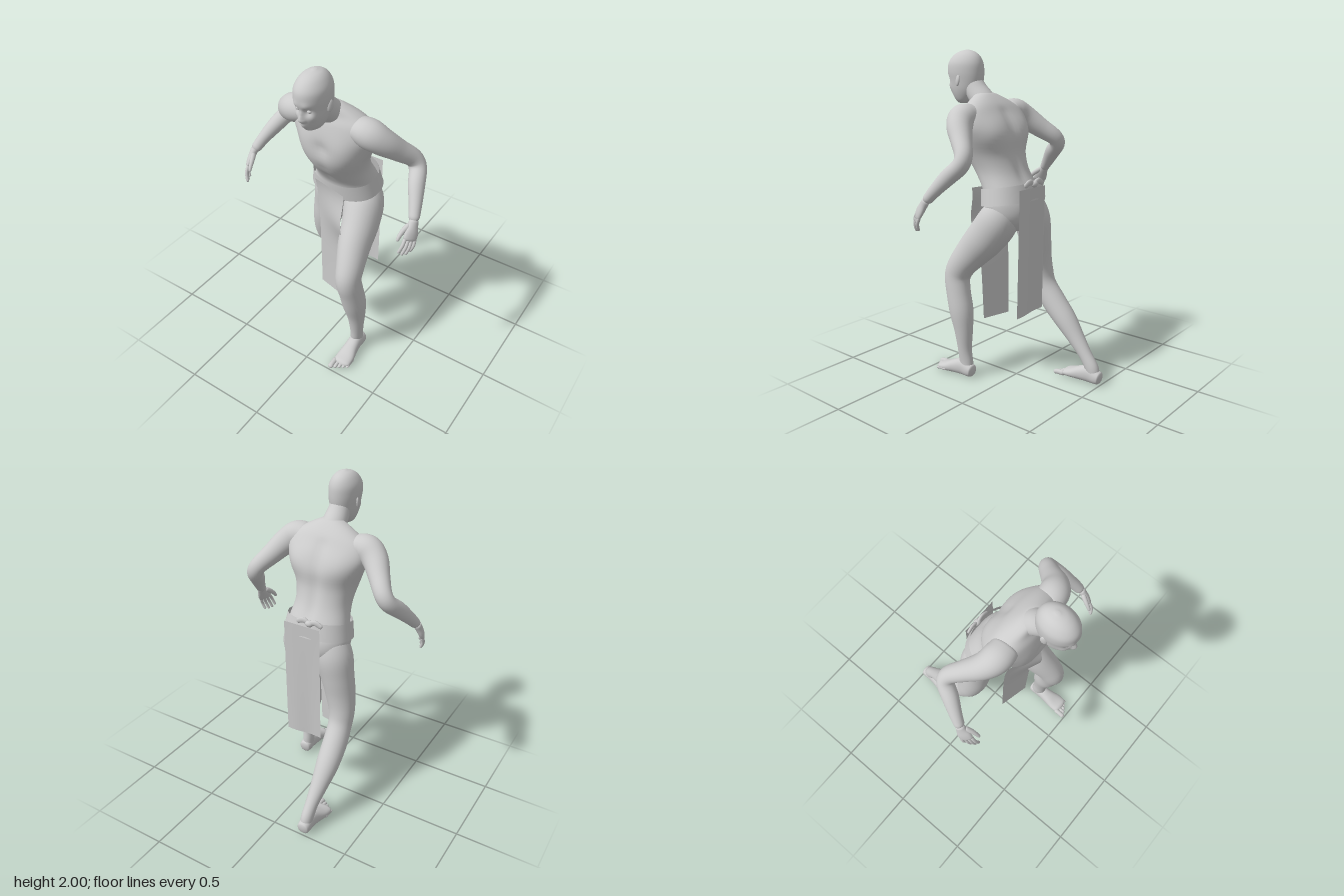
import * as THREE from 'three';

const skin = new THREE.MeshStandardMaterial({ color: 0xcccccc });
const cloth = new THREE.MeshStandardMaterial({ color: 0xcccccc, side: THREE.DoubleSide });
const V = (x, y, z) => new THREE.Vector3(x, y, z);
const squash = (v, p) => Math.sign(v) * Math.abs(v) ** p;
const bell = (v, c, w) => Math.exp(-(((v - c) / w) ** 2));

function makeMesh(name, pos, idx, material) {
  const g = new THREE.BufferGeometry();
  g.setAttribute('position', new THREE.Float32BufferAttribute(pos, 3));
  g.setIndex(idx);
  g.computeVertexNormals();
  const m = new THREE.Mesh(g, material);
  m.name = name;
  return m;
}

// Smooth closed skin through oval sections [x, y, z, radiusA, radiusB].
// bumps [x, y, z, size, amount] push the surface outward or inward.
function loft(name, rows, { ref = V(1, 0, 0), flat = false, n = 40, seg = 32, end = 0.06, p = 1, bumps = [] } = {}) {
  const path = new THREE.CatmullRomCurve3(rows.map(r => V(r[0], r[1], r[2])), false, 'catmullrom');
  const radii = new THREE.CatmullRomCurve3(rows.map(r => V(r[3], r[4], 0)), false, 'catmullrom');
  const pos = [], idx = [];
  for (let i = 0; i <= n; i++) {
    const t = (1 - Math.cos(Math.PI * i / n)) / 2;
    const c = path.getPoint(t), r = radii.getPoint(t);
    const T = flat ? V(0, 1, 0) : path.getTangent(t);
    const S = ref.clone().addScaledVector(T, -ref.dot(T)).normalize();
    const N = T.clone().cross(S);
    const e = Math.min(1, Math.min(t, 1 - t) / end);
    const f = Math.max(0.02, Math.sqrt(1 - (1 - e) ** 2));
    for (let j = 0; j < seg; j++) {
      const a = j / seg * Math.PI * 2;
      const out = S.clone().multiplyScalar(squash(Math.cos(a), p) * r.x * f)
        .addScaledVector(N, squash(Math.sin(a), p) * r.y * f);
      const q = c.clone().add(out);
      out.normalize();
      let push = 0;
      for (const b of bumps) push += b[4] * Math.exp(-q.distanceToSquared(V(b[0], b[1], b[2])) / b[3] ** 2);
      q.addScaledVector(out, push);
      pos.push(q.x, q.y, q.z);
      if (i < n) {
        const k = (j + 1) % seg, A = i * seg, B = A + seg;
        idx.push(A + j, A + k, B + j, A + k, B + k, B + j);
      }
    }
  }
  for (let j = 1; j < seg - 1; j++) {
    const L = n * seg;
    idx.push(0, j + 1, j, L, L + j, L + j + 1);
  }
  return makeMesh(name, pos, idx, skin);
}

// Open cloth surface from a rule (u, v) -> [x, y, z]
function sheet(name, rule, nu, nv) {
  const pos = [], idx = [];
  for (let i = 0; i <= nv; i++) for (let j = 0; j <= nu; j++) {
    pos.push(...rule(j / nu, i / nv));
    if (i < nv && j < nu) {
      const a = i * (nu + 1) + j, b = a + nu + 1;
      idx.push(a, b, a + 1, a + 1, b, b + 1);
    }
  }
  return makeMesh(name, pos, idx, cloth);
}

function ball(name, x, y, z, sx, sy, sz) {
  const m = new THREE.Mesh(new THREE.SphereGeometry(1, 20, 14), skin);
  m.position.set(x, y, z);
  m.scale.set(sx, sy, sz);
  m.name = name;
  return m;
}

function makeTorso() {
  const bumps = [[0.02, 1.5, 0.31, 0.035, -0.012], [0.015, 1.36, 0.29, 0.03, -0.006], [0.01, 1.27, 0.23, 0.02, -0.008]];
  for (const s of [-1, 1]) bumps.push(
    [0.02 + s * 0.11, 1.5, 0.29, 0.08, 0.018], [0.02 + s * 0.12, 1.55, 0.04, 0.08, 0.015],
    [0.01 + s * 0.05, 1.33, 0.27, 0.045, 0.006], [s * 0.09, 1.05, -0.11, 0.08, 0.015]);
  for (let y = 1.25; y < 1.66; y += 0.05) bumps.push([0.01, y, -0.06 + (y - 1.25) * 0.3, 0.035, -0.009]);
  return loft('torso', [
    [0, 0.95, -0.01, 0.1, 0.07], [0, 1.03, 0, 0.19, 0.115], [0, 1.12, 0.02, 0.208, 0.145],
    [0.005, 1.2, 0.04, 0.185, 0.138], [0.01, 1.3, 0.1, 0.17, 0.142], [0.015, 1.4, 0.145, 0.19, 0.155],
    [0.02, 1.5, 0.15, 0.23, 0.152], [0.02, 1.58, 0.165, 0.255, 0.135], [0.02, 1.65, 0.18, 0.235, 0.105],
    [0.025, 1.7, 0.188, 0.165, 0.075], [0.028, 1.745, 0.21, 0.075, 0.045], [0.03, 1.76, 0.22, 0.02, 0.02],
  ], { flat: true, n: 72, seg: 72, end: 0.02, p: 0.88, bumps });
}

function makeHead() {
  const g = new THREE.Group();
  g.name = 'head';
  const bumps = [
    [0.03, 1.768, 0.475, 0.016, 0.024], [0.03, 1.79, 0.475, 0.012, 0.012], [0.03, 1.81, 0.475, 0.012, 0.008],
    [0.03, 1.737, 0.46, 0.017, 0.012], [0.03, 1.722, 0.45, 0.016, 0.01], [0.03, 1.7, 0.425, 0.022, 0.012],
  ];
  for (const s of [-1, 1]) bumps.push(
    [0.03 + s * 0.034, 1.82, 0.468, 0.02, -0.015], [0.03 + s * 0.03, 1.85, 0.475, 0.022, 0.006],
    [0.03 + s * 0.05, 1.785, 0.445, 0.025, 0.006], [0.03 + s * 0.014, 1.765, 0.47, 0.008, 0.007]);
  g.add(loft('skull', [
    [0.03, 1.685, 0.385, 0.025, 0.03], [0.03, 1.7, 0.375, 0.048, 0.055], [0.03, 1.73, 0.37, 0.065, 0.083],
    [0.03, 1.77, 0.365, 0.078, 0.104], [0.03, 1.82, 0.362, 0.086, 0.114], [0.03, 1.87, 0.365, 0.092, 0.121],
    [0.03, 1.92, 0.365, 0.089, 0.117], [0.03, 1.96, 0.36, 0.07, 0.094], [0.03, 1.986, 0.355, 0.044, 0.058],
    [0.03, 2, 0.35, 0.008, 0.01],
  ], { flat: true, n: 90, seg: 96, end: 0.01, bumps }));
  for (const s of [-1, 1]) {
    g.add(ball('eye', 0.03 + s * 0.034, 1.82, 0.449, 0.014, 0.011, 0.013));
    const ear = ball('ear', 0.03 + s * 0.089, 1.822, 0.352, 0.009, 0.033, 0.019);
    ear.rotation.set(-0.2, -s * 0.35, 0);
    g.add(ear);
  }
  g.add(loft('neck', [[0.025, 1.6, 0.15, 0.09, 0.07], [0.028, 1.69, 0.215, 0.078, 0.07],
    [0.03, 1.76, 0.28, 0.068, 0.066], [0.03, 1.84, 0.335, 0.055, 0.06]]));
  return g;
}

function makeHand(side, wrist) {
  const g = new THREE.Group();
  g.name = side > 0 ? 'leftHand' : 'rightHand';
  const d = V(0.03, -0.19, 0.12).normalize();
  const s = V(-0.5, 0.25, 0.8);
  s.addScaledVector(d, -s.dot(d)).normalize();
  const nrm = d.clone().cross(s);
  // u runs to the fingertips, v to the thumb, w out of the palm
  const at = ([u, v, w, a, b]) => {
    const q = d.clone().multiplyScalar(u).addScaledVector(s, v).addScaledVector(nrm, w);
    return [wrist.x + side * q.x, wrist.y + q.y, wrist.z + q.z, a, b];
  };
  const ref = V(side * s.x, s.y, s.z);
  const part = (name, rows, o) => g.add(loft(name, rows.map(at), { ref, ...o }));
  part('palm', [[-0.02, 0, 0, 0.026, 0.024], [0.02, 0, 0, 0.032, 0.022], [0.06, 0, 0, 0.042, 0.02],
    [0.105, 0, 0.003, 0.04, 0.015]], { n: 16, seg: 20, end: 0.1 });
  [0.075, 0.095, 0.1, 0.09].forEach((len, k) => {
    const v = -0.03 + k * 0.02;
    part('finger', [[0.085, v, 0.002, 0.0105, 0.011], [0.09 + len * 0.45, v * 1.15, 0.008, 0.01, 0.01],
      [0.09 + len * 0.8, v * 1.2, 0.024, 0.009, 0.009], [0.09 + len, v * 1.2, 0.038, 0.008, 0.008]], { n: 14, seg: 12, end: 0.1 });
  });
  part('thumb', [[0.01, 0.018, 0.004, 0.016, 0.016], [0.05, 0.045, 0.012, 0.015, 0.014],
    [0.085, 0.06, 0.018, 0.012, 0.011], [0.115, 0.066, 0.024, 0.009, 0.009]], { n: 14, seg: 12, end: 0.1 });
  return g;
}

function makeArm(side) {
  const g = new THREE.Group();
  g.name = side > 0 ? 'leftArm' : 'rightArm';
  let rows = [
    [0.16, 1.635, 0.19, 0.075, 0.06], [0.245, 1.62, 0.192, 0.085, 0.082], [0.31, 1.575, 0.16, 0.074, 0.076],
    [0.37, 1.505, 0.09, 0.06, 0.062], [0.425, 1.44, 0.025, 0.05, 0.052], [0.455, 1.385, 0.025, 0.047, 0.05],
    [0.485, 1.325, 0.085, 0.048, 0.046], [0.52, 1.25, 0.15, 0.038, 0.036], [0.547, 1.175, 0.21, 0.027, 0.029],
  ];
  // The right arm mirrors the left but is carried a little higher
  if (side < 0) rows = rows.map(([x, y, z, a, b], i) => [-x + 0.035 * (1 - i / 8), y + 0.05 * i / 8, z, a, b]);
  g.add(loft('armSkin', rows, { ref: V(0, 0, 1), n: 56, end: 0.04 }));
  const w = rows[8];
  g.add(makeHand(side, V(w[0], w[1], w[2])));
  return g;
}

function makeFoot(side, x, dz) {
  const g = new THREE.Group();
  g.name = side > 0 ? 'leftFoot' : 'rightFoot';
  const at = ([px, y, z, a, b]) => [x + side * px, y, z + dz, a, b];
  g.add(loft('sole', [[0, 0.042, 0.175, 0.034, 0.034], [0, 0.046, 0.205, 0.04, 0.044], [0, 0.055, 0.255, 0.041, 0.053],
    [0.002, 0.045, 0.315, 0.046, 0.044], [0.006, 0.031, 0.38, 0.056, 0.03], [0.006, 0.022, 0.445, 0.054, 0.02]].map(at),
  { end: 0.08, p: 0.9 }));
  for (let k = 0; k < 5; k++) {
    const px = -0.038 + k * 0.022 + (k ? 0.004 : 0), r = k ? 0.0125 - k * 0.0006 : 0.018, tip = 0.496 - k * 0.014;
    g.add(loft('toe', [[px, 0.022, tip - 0.08, r, r], [px, 0.021, tip - 0.035, r * 0.9, r * 0.9],
      [px, 0.015, tip, r, r * 0.8]].map(at), { n: 14, seg: 14, end: 0.18 }));
  }
  return g;
}

export function createModel() {
  const model = new THREE.Group();
  model.name = 'stridingFigure';
  model.add(makeTorso(), makeHead(), makeArm(1), makeArm(-1));

  // Forward left leg and trailing right leg
  model.add(loft('leftLeg', [
    [0.09, 1.11, 0, 0.1, 0.1], [0.122, 1.02, 0.035, 0.118, 0.122], [0.145, 0.92, 0.105, 0.11, 0.122],
    [0.162, 0.82, 0.195, 0.097, 0.108], [0.185, 0.72, 0.275, 0.083, 0.09], [0.195, 0.64, 0.31, 0.075, 0.084],
    [0.205, 0.54, 0.295, 0.071, 0.079], [0.21, 0.42, 0.268, 0.07, 0.078], [0.213, 0.3, 0.25, 0.055, 0.06],
    [0.213, 0.18, 0.243, 0.041, 0.046], [0.21, 0.1, 0.235, 0.037, 0.047], [0.21, 0.045, 0.225, 0.036, 0.042],
  ], { n: 64, end: 0.03 }));
  model.add(loft('rightLeg', [
    [-0.09, 1.11, 0, 0.1, 0.1], [-0.128, 1.0, -0.015, 0.115, 0.112], [-0.157, 0.88, -0.02, 0.102, 0.1],
    [-0.18, 0.76, -0.02, 0.092, 0.09], [-0.2, 0.65, -0.035, 0.08, 0.078], [-0.205, 0.56, -0.065, 0.073, 0.072],
    [-0.21, 0.46, -0.135, 0.075, 0.075], [-0.212, 0.36, -0.225, 0.07, 0.068], [-0.208, 0.26, -0.31, 0.053, 0.052],
    [-0.202, 0.17, -0.385, 0.04, 0.041], [-0.2, 0.1, -0.433, 0.038, 0.044], [-0.2, 0.05, -0.45, 0.035, 0.04],
  ], { n: 64, end: 0.03 }));
  model.add(makeFoot(1, 0.213, 0), makeFoot(-1, -0.2, -0.675));

  // Loincloth: belt, front and back panels, knot at the back
  model.add(sheet('belt', (u, v) => {
    const a = u * Math.PI * 2, c = squash(Math.cos(a), 0.88), s = squash(Math.sin(a), 0.88);
    return [c * (0.217 - 0.02 * v), 1.12 + 0.1 * v - 0.025 * s, 0.022 + 0.018 * v + s * (0.16 - 0.008 * v)];
  }, 64, 4));
  model.add(sheet('frontPanel', (u, v) => [
    -0.11 + u * (0.23 - 0.04 * v), 1.19 - 0.84 * v,
    0.155 + 0.045 * u + 0.04 * Math.exp(-v * 6) + 0.06 * u * bell(v, 0.25, 0.18),
  ], 12, 40));
  model.add(sheet('backPanel', (u, v) => [
    0.14 - u * 0.24, 1.22 - 0.78 * v + 0.01 * u * v, -0.138 + 0.02 * v - 0.004 * Math.sin(u * 7) * v,
  ], 12, 24));
  const knot = new THREE.Group();
  knot.name = 'beltKnot';
  knot.add(ball('knotCentre', -0.02, 1.235, -0.118, 0.026, 0.02, 0.02));
  for (const s of [-1, 1]) knot.add(loft('knotEnd', [[-0.02, 1.235, -0.115, 0.012, 0.01],
    [-0.02 + s * 0.04, 1.25, -0.118, 0.018, 0.01], [-0.02 + s * 0.085, 1.23, -0.115, 0.014, 0.008]],
  { ref: V(0, 1, 0), n: 14, seg: 12 }));
  model.add(knot);
  return model;
}
